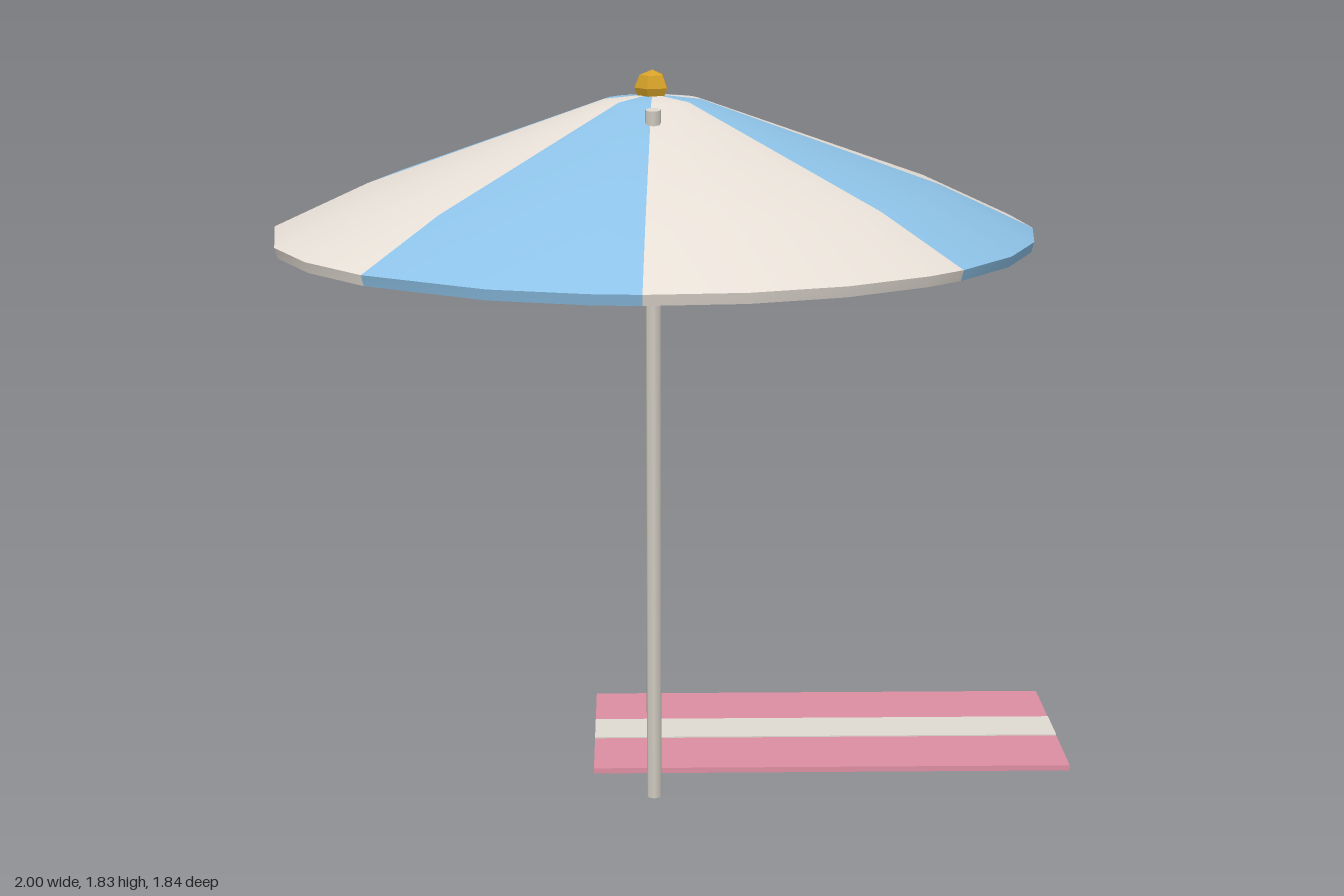
import * as THREE from 'three';
import { toCreasedNormals } from 'three/addons/utils/BufferGeometryUtils.js';

const paint = (name, color) => {
  const m = new THREE.MeshStandardMaterial({ color });
  m.name = name;
  return m;
};

const CENTRE_X = -0.08;

// Canopy: a closed shell of eight alternating gores, swept round a profile
function canopyGeometry() {
  // [radius, height] from the underside centre, round the lip, to the apex
  const profile = [[0, 1.425], [0.913, 1.425], [0.92, 1.45], [0.69, 1.557], [0.115, 1.763], [0, 1.775]];
  // Rim corners in 51sts of a turn; each list is one gore
  const gores = [
    [0, 2, 4, 6], [6, 7, 9, 11, 13], [13, 14, 16, 19], [19, 21, 23, 26],
    [26, 29, 32], [32, 35, 38], [38, 40, 42, 45], [45, 47, 49, 51],
  ];
  const positions = [];
  const geometry = new THREE.BufferGeometry();
  const point = ([r, y], step) => {
    const a = (step / 51) * Math.PI * 2;
    return [r * Math.cos(a), y, r * Math.sin(a)];
  };
  gores.forEach((steps, g) => {
    const start = positions.length / 3;
    for (let i = 0; i < steps.length - 1; i++) {
      for (let j = 0; j < profile.length - 1; j++) {
        const a = point(profile[j], steps[i]);
        const b = point(profile[j], steps[i + 1]);
        const c = point(profile[j + 1], steps[i + 1]);
        const d = point(profile[j + 1], steps[i]);
        if (profile[j][0] > 0) positions.push(...a, ...d, ...b);
        if (profile[j + 1][0] > 0) positions.push(...b, ...d, ...c);
      }
    }
    geometry.addGroup(start, positions.length / 3 - start, g % 2);
  });
  geometry.setAttribute('position', new THREE.Float32BufferAttribute(positions, 3));
  return toCreasedNormals(geometry, 0.6);
}

export function createModel() {
  const group = new THREE.Group();
  group.name = 'beachParasolAndTowel';

  const blue = paint('canopy blue', 0x8ec3e8);
  const cream = paint('canopy cream', 0xebe3da);
  const poleGrey = paint('pole pale grey', 0xdad5cb);
  const gold = paint('finial gold', 0xd6a228);
  const pink = paint('towel pink', 0xdc8ea2);
  const stripeCream = paint('towel stripe cream', 0xdfdad1);
  gold.flatShading = true;

  const add = (name, geometry, material, x, y, z) => {
    const mesh = new THREE.Mesh(geometry, material);
    mesh.name = name;
    mesh.position.set(x, y, z);
    group.add(mesh);
    return mesh;
  };

  add('canopy', canopyGeometry(), [blue, cream], CENTRE_X, 0, 0);

  // Finial on the apex
  add('finial', new THREE.SphereGeometry(0.043, 5, 4), gold, CENTRE_X, 1.79, 0);

  // Pole leans forward and pokes out through the canopy
  const pole = add('pole', new THREE.CylinderGeometry(0.019, 0.019, 1.77, 7), poleGrey, CENTRE_X, 0.881, 0.106);
  pole.rotation.x = 0.12;

  // Towel: two pink bands with a slightly raised stripe between them
  const band = (name, material, zBack, zFront, top) =>
    add(name, new THREE.BoxGeometry(1.235, top - 0.005, zFront - zBack), material,
      0.3825, (top + 0.005) / 2, (zBack + zFront) / 2);
  band('towelBackBand', pink, -0.77, -0.54, 0.019);
  band('towelStripe', stripeCream, -0.54, -0.39, 0.022);
  band('towelFrontBand', pink, -0.39, -0.155, 0.019);

  return group;
}
